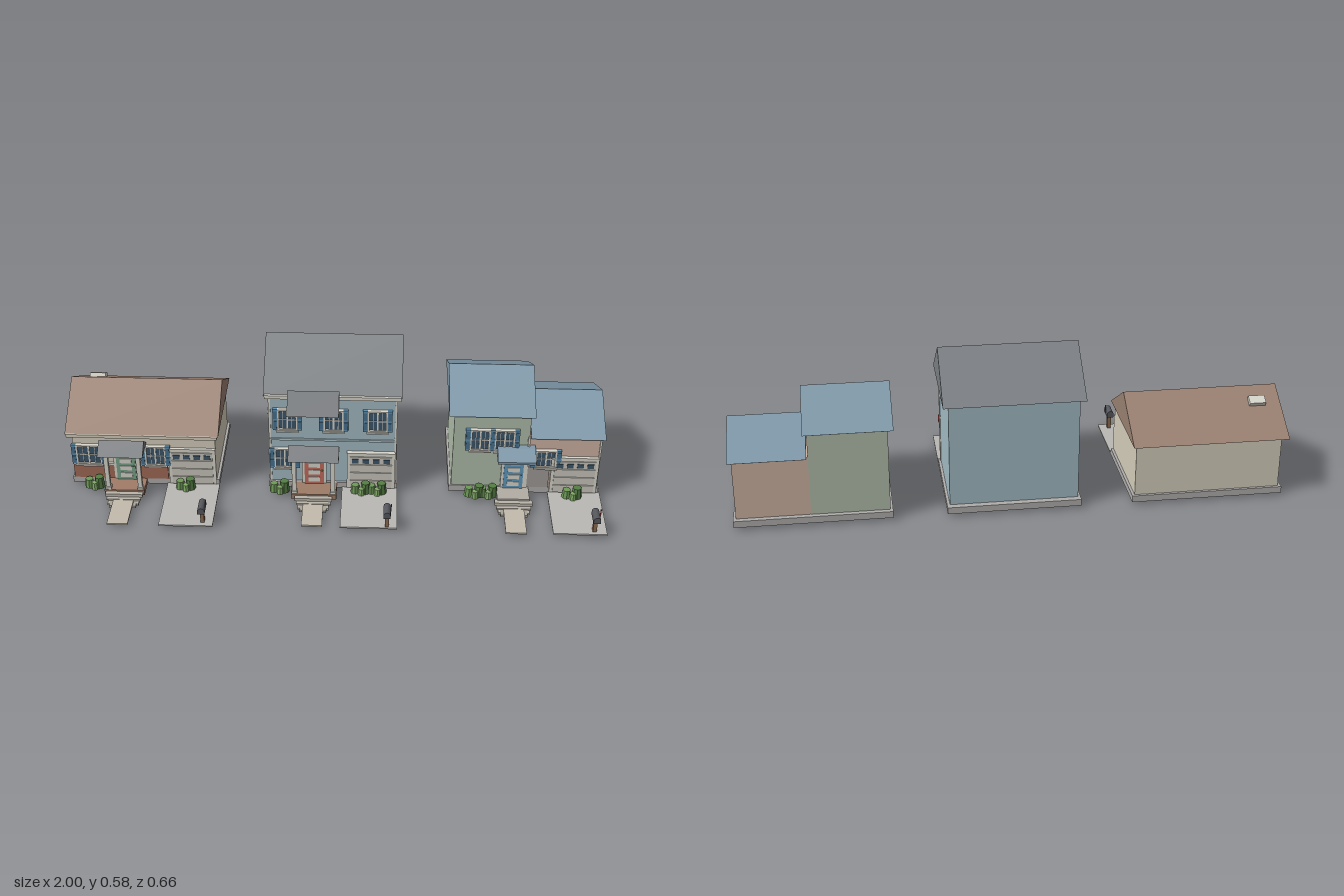
import * as THREE from 'three';

const mats = {};
const mat = (c) => (mats[c] ??= new THREE.MeshStandardMaterial({ color: c, flatShading: true }));
const WHITE = 0xd8d6cc, GLASS = 0x3c566b, SHUTTER = 0x5f8fae, STONE = 0xb0aeac, CREAM = 0xd5cebc;

function add(parent, name, geo, color) {
  const m = new THREE.Mesh(geo, mat(color));
  m.name = name;
  parent.add(m);
  return m;
}

// Box given by its min and max corners
function box(parent, name, x0, x1, y0, y1, z0, z1, color) {
  const m = add(parent, name, new THREE.BoxGeometry(x1 - x0, y1 - y0, z1 - z0), color);
  m.position.set((x0 + x1) / 2, (y0 + y1) / 2, (z0 + z1) / 2);
  return m;
}

// Side profile of [z, y] points swept along x
function sweep(parent, name, x0, x1, pts, color) {
  const shape = new THREE.Shape(pts.map(([z, y]) => new THREE.Vector2(-z, y)));
  const geo = new THREE.ExtrudeGeometry(shape, { depth: x1 - x0, bevelEnabled: false });
  geo.rotateY(Math.PI / 2).translate(x0, 0, 0);
  return add(parent, name, geo, color);
}

// Solid gable roof with its ridge along x
function gable(parent, name, x0, x1, y0, y1, zBack, zFront, zRidge, color) {
  return sweep(parent, name, x0, x1, [[zFront, y0], [zBack, y0], [zRidge, y1]], color);
}

// Framed window facing +z in its own group
function windowUnit(parent, x, y, z, w, h, shutters = true) {
  const g = new THREE.Group();
  g.name = 'window';
  g.position.set(x, y, z);
  parent.add(g);
  const a = w / 2, b = h / 2, t = 0.006;
  box(g, 'glass', -a, a, -b, b, -0.004, 0.006, GLASS);
  for (const s of [-1, 1]) {
    box(g, 'frameSide', s * a - t / 2, s * a + t / 2, -b, b, -0.004, 0.012, WHITE);
    box(g, 'frameRail', -a - t / 2, a + t / 2, s * b - t / 2, s * b + t / 2, -0.004, 0.013, WHITE);
    box(g, 'muntin', s * a / 2 - 0.001, s * a / 2 + 0.001, -b, b, 0, 0.008, WHITE);
    if (shutters) {
      const c = s * (a + 0.012);
      box(g, 'shutter', c - 0.009, c + 0.009, -b - 0.003, b + 0.003, -0.004, 0.01, SHUTTER);
      for (const v of [-1, 1])
        box(g, 'shutterPanel', c - 0.006, c + 0.006, v * b / 2 - b * 0.38, v * b / 2 + b * 0.38, 0.009, 0.012, 0x47718e);
    }
  }
  box(g, 'mullion', -0.003, 0.003, -b, b, 0, 0.01, WHITE);
  box(g, 'crossBar', -a, a, -0.0015, 0.0015, 0, 0.009, WHITE);
  box(g, 'sill', -a - 0.008, a + 0.008, -b - 0.008, -b - 0.002, -0.004, 0.018, WHITE);
  return g;
}

function door(parent, x, color) {
  const z = 0.065, w = 0.036;
  box(parent, 'doorFrame', x - w - 0.01, x + w + 0.01, 0.035, 0.185, z, z + 0.01, WHITE);
  box(parent, 'door', x - w, x + w, 0.036, 0.177, z, z + 0.014, color);
  for (let i = 0; i < 4; i++)
    box(parent, 'doorPanel', x - 0.022, x + 0.022, 0.048 + i * 0.032, 0.068 + i * 0.032, z, z + 0.017, i === 3 ? 0xaab8bd : WHITE);
  const knob = add(parent, 'doorKnob', new THREE.SphereGeometry(0.0035, 8, 6), 0xb59b55);
  knob.position.set(x + 0.029, 0.1, z + 0.017);
}

function garageDoor(parent, x0, x1) {
  box(parent, 'garageFrame', x0, x1, 0.02, 0.178, 0.06, 0.077, WHITE);
  const a = x0 + 0.012, b = x1 - 0.012, n = 4, step = (b - a) / n;
  for (let r = 0; r < 4; r++)
    box(parent, 'garagePanel', a, b, 0.023 + r * 0.036, 0.056 + r * 0.036, 0.07, 0.081, 0xc9c6bc);
  for (let i = 0; i < n; i++)
    box(parent, 'garagePane', a + i * step + 0.007, a + (i + 1) * step - 0.007, 0.137, 0.155, 0.07, 0.084, GLASS);
}

// Clipped shrub pair
function bushes(parent, x) {
  [[-0.022, 0.036, 0.018, 0x6f9a58], [0.016, 0.046, 0.02, 0x567f45], [0.001, 0.03, 0.014, 0x83ad69]].forEach(([dx, h, r, c], i) => {
    const b = add(parent, 'bush', new THREE.CylinderGeometry(r * 0.8, r, h, 8), c);
    b.position.set(x + dx, 0.014 + h / 2, i === 2 ? 0.113 : 0.098);
  });
}

function mailbox(parent, x) {
  box(parent, 'mailboxPost', x - 0.007, x + 0.007, 0.015, 0.076, 0.288, 0.307, 0x8a6a50);
  const s = new THREE.Shape();
  s.moveTo(-0.013, 0).lineTo(0.013, 0).lineTo(0.013, 0.013);
  s.absarc(0, 0.013, 0.013, 0, Math.PI).closePath();
  const body = add(parent, 'mailboxBody', new THREE.ExtrudeGeometry(s, { depth: 0.06, bevelEnabled: false, curveSegments: 6 }), 0x55575c);
  body.position.set(x, 0.073, 0.27);
  box(parent, 'mailboxFlag', x + 0.013, x + 0.016, 0.085, 0.114, 0.295, 0.301, 0xb8443e);
}

// Porch deck, posts, steps and front path around centre x
function porch(parent, x, half, pathEnd, deckColor, postHalf) {
  box(parent, 'porchDeck', x - half, x + half, 0.015, 0.036, 0.06, 0.147, deckColor);
  for (let i = 0; i < 3; i++)
    box(parent, 'step', x - 0.07 + i * 0.006, x + 0.07 - i * 0.006, i ? 0.026 - i * 0.011 - 0.004 : 0.017, i ? 0.026 - i * 0.009 : 0.029, 0.14, 0.165 + i * 0.015, 0xbab5aa);
  box(parent, 'bottomStep', x - 0.05, x + 0.05, 0, 0.009, 0.16, 0.21, 0xaaa59a);
  box(parent, 'frontPath', x - 0.038, x + 0.038, 0.009, 0.015, 0.17, pathEnd, 0xc2bbad);
  if (!postHalf) return;
  for (const s of [-1, 1]) {
    const c = x + s * postHalf;
    box(parent, 'porchPost', c - 0.008, c + 0.008, 0.036, 0.195, 0.126, 0.142, WHITE);
    box(parent, 'postBase', c - 0.011, c + 0.011, 0.036, 0.046, 0.123, 0.145, WHITE);
    box(parent, 'postCap', c - 0.011, c + 0.011, 0.184, 0.195, 0.123, 0.145, WHITE);
  }
}

// Foundation, drive and mailbox shared by every house
function site(name, x0, x1, dx0, dx1, driveEnd, mailX) {
  const g = new THREE.Group();
  g.name = name;
  box(g, 'foundation', x0, x1, 0.012, 0.037, -0.318, 0.07, STONE);
  box(g, 'driveway', dx0, dx1, 0.011, 0.017, 0.06, driveEnd, 0xbab9b5);
  mailbox(g, mailX);
  return g;
}

function bungalow() {
  const g = site('bungalow', -0.99, -0.432, -0.63, -0.432, 0.325, -0.47);
  box(g, 'walls', -0.978, -0.442, 0.036, 0.237, -0.308, 0.065, CREAM);
  box(g, 'brickFront', -0.982, -0.625, 0.036, 0.1, 0.06, 0.071, 0xa06a56);
  box(g, 'brickCap', -0.984, -0.625, 0.098, 0.104, 0.06, 0.074, WHITE);
  gable(g, 'roof', -1, -0.428, 0.237, 0.364, -0.333, 0.08, -0.122, 0x9a8072);
  box(g, 'gutter', -0.995, -0.433, 0.226, 0.239, 0.065, 0.083, CREAM);
  const vent = box(g, 'roofVent', -0.942, -0.882, 0.318, 0.34, -0.207, -0.172, WHITE);
  vent.rotation.x = -0.5;
  windowUnit(g, -0.918, 0.145, 0.068, 0.088, 0.08);
  windowUnit(g, -0.668, 0.145, 0.068, 0.07, 0.08);
  windowUnit(g, -0.978, 0.14, -0.145, 0.09, 0.09, false).rotation.y = -Math.PI / 2;
  door(g, -0.782, 0x78a38a);
  garageDoor(g, -0.62, -0.442);
  porch(g, -0.782, 0.075, 0.322, 0xa27b68, 0.06);
  gable(g, 'porchRoof', -0.868, -0.7, 0.195, 0.235, 0.06, 0.163, 0.108, 0x74777b);
  bushes(g, -0.9);
  bushes(g, -0.555);
  return g;
}

function townhouse() {
  const g = site('twoStoreyHouse', -0.245, 0.24, 0.032, 0.24, 0.312, 0.203);
  box(g, 'walls', -0.236, 0.23, 0.036, 0.428, -0.295, 0.06, 0xa2bac4);
  box(g, 'floorBand', -0.239, 0.233, 0.222, 0.23, 0.05, 0.065, 0xb3c8d0);
  for (const x of [-0.236, 0.23])
    box(g, 'cornerTrim', x - 0.004, x + 0.004, 0.036, 0.428, 0.054, 0.064, WHITE);
  gable(g, 'roof', -0.256, 0.25, 0.426, 0.577, -0.318, 0.078, -0.12, 0x7b7f83);
  box(g, 'gutter', -0.252, 0.246, 0.416, 0.43, 0.06, 0.083, WHITE);
  gable(g, 'upperCanopy', -0.165, 0.022, 0.394, 0.465, 0.038, 0.163, 0.1, 0x74777b);
  for (const x of [-0.17, 0, 0.162]) windowUnit(g, x, 0.318, 0.062, 0.066, 0.085);
  windowUnit(g, -0.182, 0.145, 0.062, 0.07, 0.08);
  for (const y of [0.14, 0.325])
    windowUnit(g, -0.236, y, -0.085, 0.09, 0.09, false).rotation.y = -Math.PI / 2;
  door(g, -0.072, 0xc06a5c);
  garageDoor(g, 0.05, 0.23);
  porch(g, -0.072, 0.085, 0.305, 0x9c7c66, 0.072);
  gable(g, 'porchRoof', -0.165, 0.022, 0.193, 0.235, 0.06, 0.163, 0.115, 0x74777b);
  bushes(g, -0.2);
  bushes(g, 0.105);
  bushes(g, 0.165);
  return g;
}

function splitHouse() {
  const g = site('splitLevelHouse', 0.433, 0.995, 0.805, 1, 0.32, 0.955);
  box(g, 'tallWing', 0.442, 0.722, 0.036, 0.356, -0.3, 0.065, 0xafbda9);
  box(g, 'garageWing', 0.72, 0.985, 0.036, 0.263, -0.299, 0.064, 0xcdb2a2);
  box(g, 'stoneFront', 0.722, 0.805, 0.036, 0.13, 0.06, 0.07, 0xa09a96);
  box(g, 'cornerTrim', 0.716, 0.724, 0.036, 0.262, 0.06, 0.073, WHITE);
  box(g, 'endTrim', 0.981, 0.988, 0.036, 0.262, 0.058, 0.07, WHITE);
  gable(g, 'tallRoof', 0.422, 0.737, 0.354, 0.458, -0.318, 0.08, -0.12, 0x7f98a9);
  gable(g, 'garageRoof', 0.727, 1, 0.262, 0.355, -0.317, 0.079, -0.12, 0x7f98a9);
  windowUnit(g, 0.54, 0.25, 0.068, 0.066, 0.085);
  windowUnit(g, 0.63, 0.25, 0.068, 0.066, 0.085);
  windowUnit(g, 0.787, 0.172, 0.07, 0.07, 0.07);
  door(g, 0.672, 0x5f97bd);
  garageDoor(g, 0.81, 0.985);
  porch(g, 0.672, 0.06, 0.32, 0xb3aea4, 0);
  // Shed canopy over the door
  sweep(g, 'doorCanopy', 0.605, 0.745, [[0.14, 0.188], [0.06, 0.188], [0.06, 0.225], [0.085, 0.222], [0.14, 0.198]], 0x7f98a9);
  for (const x of [0.625, 0.719])
    sweep(g, 'canopyBracket', x - 0.004, x + 0.004, [[0.062, 0.145], [0.125, 0.188], [0.062, 0.188]], WHITE);
  bushes(g, 0.53);
  bushes(g, 0.58);
  bushes(g, 0.895);
  return g;
}

export function createModel() {
  const model = new THREE.Group();
  model.name = 'houseRow';
  model.add(bungalow(), townhouse(), splitHouse());
  return model;
}
